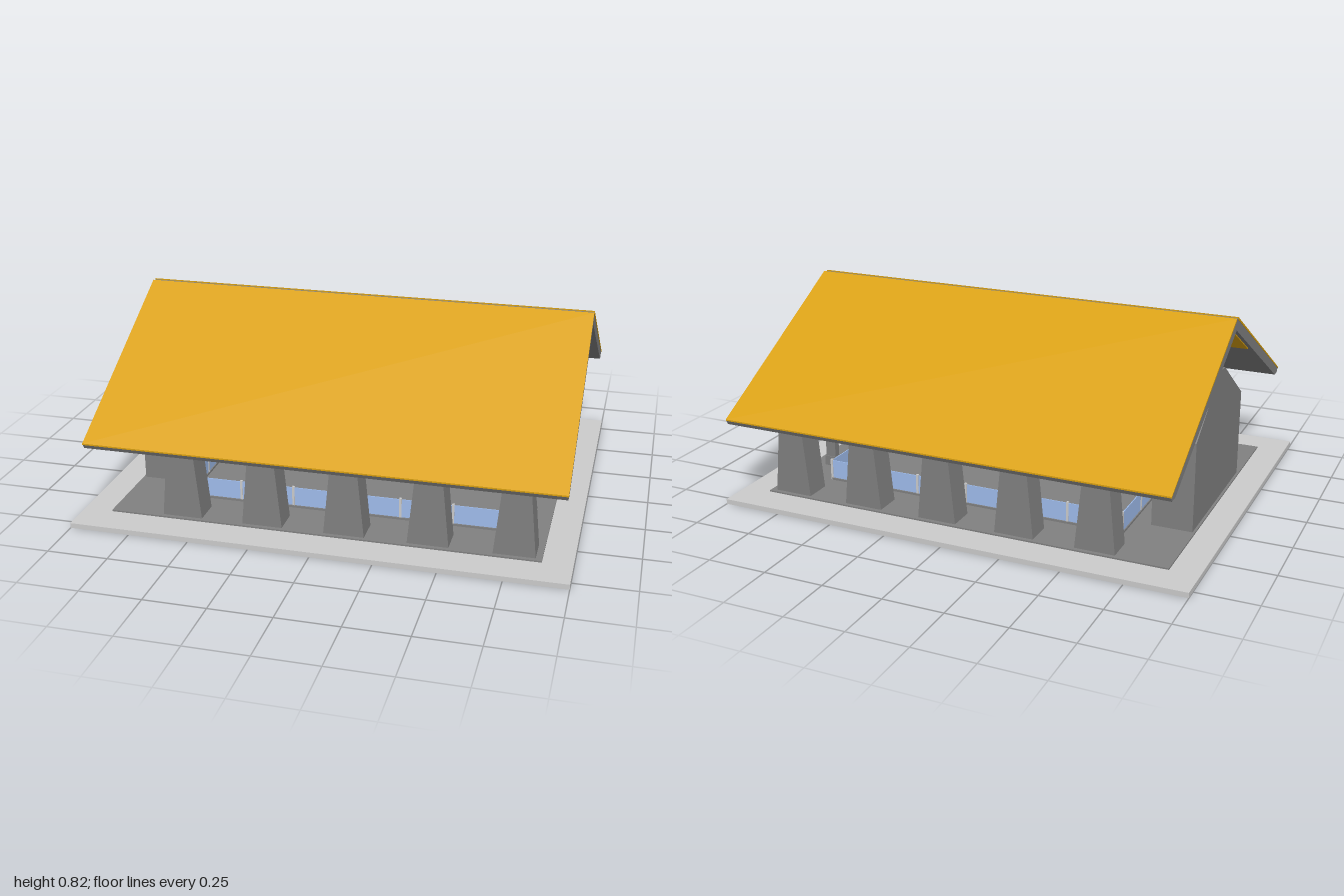
import * as THREE from 'three';

const mat = (color, extra = {}) => new THREE.MeshStandardMaterial({ color, ...extra });
const pale = mat(0xcccccc);
const stone = mat(0x808080);
const gold = mat(0xd9a010);
const glass = mat(0x9fbcec, { side: THREE.DoubleSide });

function add(parent, name, geometry, material) {
  const mesh = new THREE.Mesh(geometry, material);
  mesh.name = name;
  parent.add(mesh);
  return mesh;
}

// Box given by its limits on each axis
function box(parent, name, material, x0, x1, y0, y1, z0, z1) {
  const mesh = add(parent, name, new THREE.BoxGeometry(x1 - x0, y1 - y0, z1 - z0), material);
  mesh.position.set((x0 + x1) / 2, (y0 + y1) / 2, (z0 + z1) / 2);
  return mesh;
}

// Extrude a (z, y) section along x, from x0 to x1
function section(parent, name, material, shape, x0, x1) {
  const geometry = new THREE.ExtrudeGeometry(shape, { depth: x1 - x0, bevelEnabled: false, curveSegments: 24 });
  geometry.rotateY(-Math.PI / 2);
  geometry.translate(x1, 0, 0);
  return add(parent, name, geometry, material);
}

const poly = (points) => new THREE.Shape(points.map(([z, y]) => new THREE.Vector2(z, y)));

// Opening with a round top
function archPath(z, halfWidth, y0, spring) {
  const path = new THREE.Path();
  path.moveTo(z - halfWidth, y0);
  path.lineTo(z + halfWidth, y0);
  path.lineTo(z + halfWidth, spring);
  path.absarc(z, spring, halfWidth, 0, Math.PI, false);
  path.closePath();
  return path;
}

// Square timber between two (z, y) points, centred on x = 0
function timber(parent, name, [z0, y0], [z1, y1], height = 0.026, width = 0.046) {
  const dz = z1 - z0, dy = y1 - y0;
  const mesh = add(parent, name, new THREE.BoxGeometry(width, height, Math.hypot(dz, dy)), stone);
  mesh.position.set(0, (y0 + y1) / 2, (z0 + z1) / 2);
  mesh.rotation.x = -Math.atan2(dy, dz);
  return mesh;
}

// Pier that narrows along x toward the top
function pier(parent, x, side) {
  const shape = new THREE.Shape([[-0.083, 0.025], [0.083, 0.025], [0.053, 0.328], [-0.053, 0.328]]
    .map(([px, py]) => new THREE.Vector2(px, py)));
  const geometry = new THREE.ExtrudeGeometry(shape, { depth: 0.112, bevelEnabled: false });
  geometry.translate(x, 0, side > 0 ? 0.531 : -0.643);
  add(parent, 'pier', geometry, stone);
}

// Arched timber truss
function truss(x, hasPosts) {
  const g = new THREE.Group();
  g.name = 'truss';
  g.position.x = x;
  const arch = new THREE.Shape();
  arch.absellipse(0, 0.335, 0.272, 0.252, 0, Math.PI, false);
  arch.absellipse(0, 0.335, 0.25, 0.228, Math.PI, 0, true);
  arch.closePath();
  section(g, 'arch', stone, arch, -0.02, 0.02);
  timber(g, 'collarBeam', [-0.33, 0.6], [0.33, 0.6]);
  timber(g, 'kingPost', [0, 0.545], [0, 0.78], 0.028);
  for (const s of [-1, 1]) {
    const chord = [[0.645, 0.325], [0.645, 0.352], [0.225, 0.352], [0.26, 0.325]].map(([z, y]) => [s * z, y]);
    section(g, 'hammerBeam', stone, poly(chord), -0.023, 0.023);
    timber(g, 'lowerRafter', [s * 0.64, 0.345], [s * 0.31, 0.59], 0.022);
    timber(g, 'shortPost', [s * 0.46, 0.305], [s * 0.46, 0.49], 0.024);
    timber(g, 'diagonal', [s * 0.46, 0.478], [s * 0.31, 0.35], 0.022);
    timber(g, 'archBrace', [s * 0.3, 0.582], [s * 0.195, 0.512], 0.022);
    timber(g, 'kingBrace', [s * 0.12, 0.605], [s * 0.005, 0.69], 0.02);
    timber(g, 'principalRafter', [s * 0.66, 0.415], [0, 0.777], 0.03);
    timber(g, 'post', [s * 0.305, hasPosts ? 0.025 : 0.31], [s * 0.305, 0.595], 0.03);
    if (hasPosts) timber(g, 'postBase', [s * 0.305, 0.025], [s * 0.305, 0.07], 0.038, 0.056);
  }
  return g;
}

// Roof slab over one half, with a metal sheet on top
function roof(parent) {
  for (const s of [-1, 1]) {
    const half = (points) => poly(points.map(([z, y]) => [s * z, y]));
    section(parent, 'roofSlab', stone,
      half([[0, 0.808], [0.012, 0.81], [0.795, 0.372], [0.785, 0.355], [0.745, 0.355], [0, 0.768]]), -0.918, 0.973);
    section(parent, 'roofSheet', gold,
      half([[0.012, 0.81], [0.012, 0.82], [0.795, 0.378], [0.795, 0.372]]), -0.92, 0.975);
    section(parent, 'ceilingSheet', gold,
      half([[0, 0.769], [0, 0.763], [0.28, 0.608], [0.28, 0.615]]), -0.9, 0.955);
  }
  box(parent, 'ridgeStrip', stone, -0.918, 0.973, 0.8, 0.815, -0.012, 0.012);
}

// Gabled end block with a hearth and niches on the inner face
function fireplace() {
  const g = new THREE.Group();
  g.name = 'fireplace';
  const gable = [[-0.33, 0.022], [0.33, 0.022], [0.33, 0.4], [0.035, 0.6], [-0.035, 0.6], [-0.33, 0.4]];
  section(g, 'gableCore', stone, poly(gable), -0.87, -0.76);
  const face = poly(gable);
  face.holes.push(archPath(0, 0.094, 0.335, 0.417));
  for (const z of [-0.23, 0.23]) face.holes.push(archPath(z, 0.045, 0.03, 0.113));
  face.holes.push(new THREE.Path([[-0.125, 0.03], [0.125, 0.03], [0.125, 0.23], [-0.125, 0.23]]
    .map(([z, y]) => new THREE.Vector2(z, y))));
  section(g, 'gableFace', stone, face, -0.76, -0.7);
  const frame = poly([[-0.145, 0.025], [-0.125, 0.025], [-0.125, 0.23], [0.125, 0.23],
    [0.125, 0.025], [0.145, 0.025], [0.145, 0.252], [-0.145, 0.252]]);
  section(g, 'hearthSurround', stone, frame, -0.7, -0.69);
  box(g, 'mantel', stone, -0.7, -0.68, 0.322, 0.335, -0.145, 0.145);
  return g;
}

// Low glass barrier around the floor
function barrier() {
  const g = new THREE.Group();
  g.name = 'barrier';
  const x0 = -0.62, x1 = 0.7, w = 0.45;
  const stand = (x, z) => box(g, 'barrierPost', pale, x - 0.005, x + 0.005, 0.025, 0.12, z - 0.005, z + 0.005);
  for (const z of [-w, w]) {
    box(g, 'glassPanel', glass, x0, x1, 0.035, 0.115, z - 0.002, z + 0.002);
    box(g, 'barrierCurb', stone, x0, x1, 0.022, 0.036, z - 0.007, z + 0.007);
    for (const x of [x0, -0.39, -0.165, 0.06, 0.285, 0.5, x1]) stand(x, z);
  }
  for (const x of [x0, x1]) {
    box(g, 'glassPanel', glass, x - 0.002, x + 0.002, 0.035, 0.115, -w, w);
    box(g, 'barrierCurb', stone, x - 0.007, x + 0.007, 0.022, 0.036, -w, w);
    for (const z of [-0.23, 0, 0.23]) stand(x, z);
  }
  return g;
}

export function createModel() {
  const model = new THREE.Group();
  model.name = 'pavilion';
  box(model, 'baseSlab', pale, -1, 1, 0, 0.021, -0.8, 0.8);
  box(model, 'floor', stone, -0.88, 0.88, 0.015, 0.027, -0.66, 0.66);
  for (let i = 0; i < 5; i++) {
    const x = -0.578 + i * 0.3375;
    for (const side of [-1, 1]) pier(model, x, side);
    model.add(truss(x + 0.017, i === 4));
  }
  roof(model);
  model.add(fireplace(), barrier());
  return model;
}
